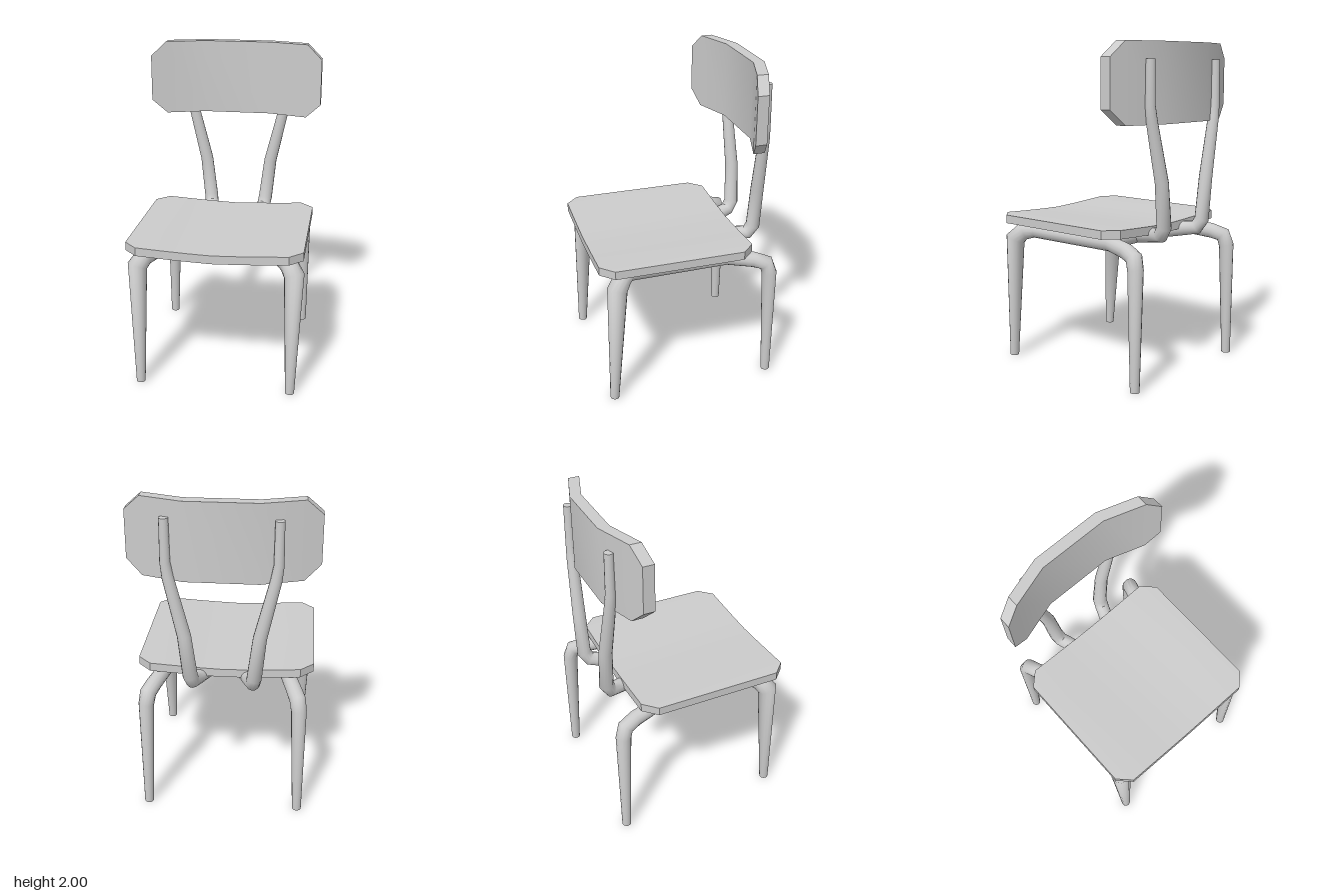
import * as THREE from 'three';
import { toCreasedNormals } from 'three/addons/utils/BufferGeometryUtils.js';

const material = new THREE.MeshStandardMaterial({ color: 0xcccccc });

// Closed skin through equal-sized rings of points, capped at both ends.
function loft(name, rings, crease) {
  const n = rings[0].length, pos = [];
  const tri = (...points) => points.forEach((p) => pos.push(p.x, p.y, p.z));
  for (let k = 0; k < rings.length - 1; k++) {
    const a = rings[k], b = rings[k + 1];
    for (let i = 0; i < n; i++) {
      const j = (i + 1) % n;
      tri(a[i], a[j], b[j]);
      tri(a[i], b[j], b[i]);
    }
  }
  const first = rings[0], last = rings[rings.length - 1];
  for (let i = 1; i < n - 1; i++) {
    tri(first[0], first[i + 1], first[i]);
    tri(last[0], last[i], last[i + 1]);
  }
  const geometry = new THREE.BufferGeometry();
  geometry.setAttribute('position', new THREE.Float32BufferAttribute(pos, 3));
  const mesh = new THREE.Mesh(toCreasedNormals(geometry, crease), material);
  mesh.name = name;
  return mesh;
}

// Round bar along a bent path; each point is [x, y, z, radius].
function bar(name, path, sides = 14) {
  const pts = path.map(([x, y, z]) => new THREE.Vector3(x, y, z));
  const u = new THREE.Vector3();
  const rings = pts.map((p, k) => {
    const t = new THREE.Vector3();
    if (k > 0) t.add(p.clone().sub(pts[k - 1]).normalize());
    if (k < pts.length - 1) t.add(pts[k + 1].clone().sub(p).normalize());
    t.normalize();
    if (k === 0) u.set(Math.abs(t.x) > 0.8 ? 0 : 1, Math.abs(t.x) > 0.8 ? 1 : 0, 0);
    u.addScaledVector(t, -u.dot(t)).normalize();
    const v = t.clone().cross(u);
    return Array.from({ length: sides }, (_, i) => {
      const a = (i / sides) * Math.PI * 2, r = path[k][3];
      return p.clone().addScaledVector(u, r * Math.cos(a)).addScaledVector(v, r * Math.sin(a));
    });
  });
  return loft(name, rings, 1.0);
}

// Bent board across x; each station is [x, yLow, yHigh, zBack, zFront].
function board(name, stations) {
  const rings = stations.map(([x, y0, y1, z0, z1]) => [
    new THREE.Vector3(x, y0, z0), new THREE.Vector3(x, y1, z0),
    new THREE.Vector3(x, y1, z1), new THREE.Vector3(x, y0, z1),
  ]);
  return loft(name, rings, 0.5);
}

export function createModel() {
  const group = new THREE.Group();
  group.name = 'chair';

  // Seat: shallow dip across the width, clipped corners
  const seat = [-0.535, -0.455, -0.3, -0.15, 0, 0.15, 0.3, 0.455, 0.535].map((x) => {
    const end = Math.abs(x) > 0.5;
    const top = 0.91 + 0.022 * Math.min(1, Math.pow(Math.abs(x) / 0.455, 1.3));
    return [x - 0.005, top - 0.052, top, end ? -0.315 : -0.395, end ? 0.485 : 0.565];
  });
  group.add(board('seat', seat));

  // Backrest: flat middle with wings angled forward, clipped corners
  const backrest = [-0.555, -0.46, -0.215, 0.215, 0.46, 0.555].map((x) => {
    const end = Math.abs(x) > 0.5;
    const z = -0.52 + Math.max(0, Math.abs(x) - 0.215) * 0.324;
    return [x, end ? 1.62 : 1.53, end ? 1.91 : 2.0, z, z + 0.07];
  });
  group.add(board('backrest', backrest));

  for (const [side, s] of [['left', 1], ['right', -1]]) {
    const mirror = (path) => path.map(([x, y, z, r]) => [s * x, y, z, r]);

    // Front leg, side rail and back leg as one bent bar
    group.add(bar(side + 'LegsAndRail', mirror([
      [0.47, 0, 0.5, 0.028],
      [0.476, 0.775, 0.465, 0.062],
      [0.44, 0.825, 0.425, 0.058],
      [0.395, 0.828, 0.37, 0.046],
      [0.38, 0.825, -0.26, 0.046],
      [0.425, 0.808, -0.42, 0.048],
      [0.45, 0.785, -0.495, 0.05],
      [0.46, 0.72, -0.515, 0.047],
      [0.47, 0, -0.52, 0.028],
    ])));

    // Backrest upright, curving forward beneath the seat
    group.add(bar(side + 'Upright', mirror([
      [0.09, 0.825, -0.22, 0.043],
      [0.155, 0.862, -0.41, 0.045],
      [0.18, 0.872, -0.475, 0.045],
      [0.19, 0.925, -0.507, 0.045],
      [0.22, 1.19, -0.512, 0.041],
      [0.305, 1.55, -0.503, 0.034],
      [0.318, 1.64, -0.502, 0.03],
      [0.318, 1.9, -0.502, 0.027],
    ])));
  }

  // Cross rails beneath the seat
  for (const [name, z] of [['frontCrossRail', 0.19], ['rearCrossRail', -0.22]]) {
    group.add(bar(name, [[-0.38, 0.824, z, 0.043], [0.38, 0.824, z, 0.043]]));
  }

  return group;
}
